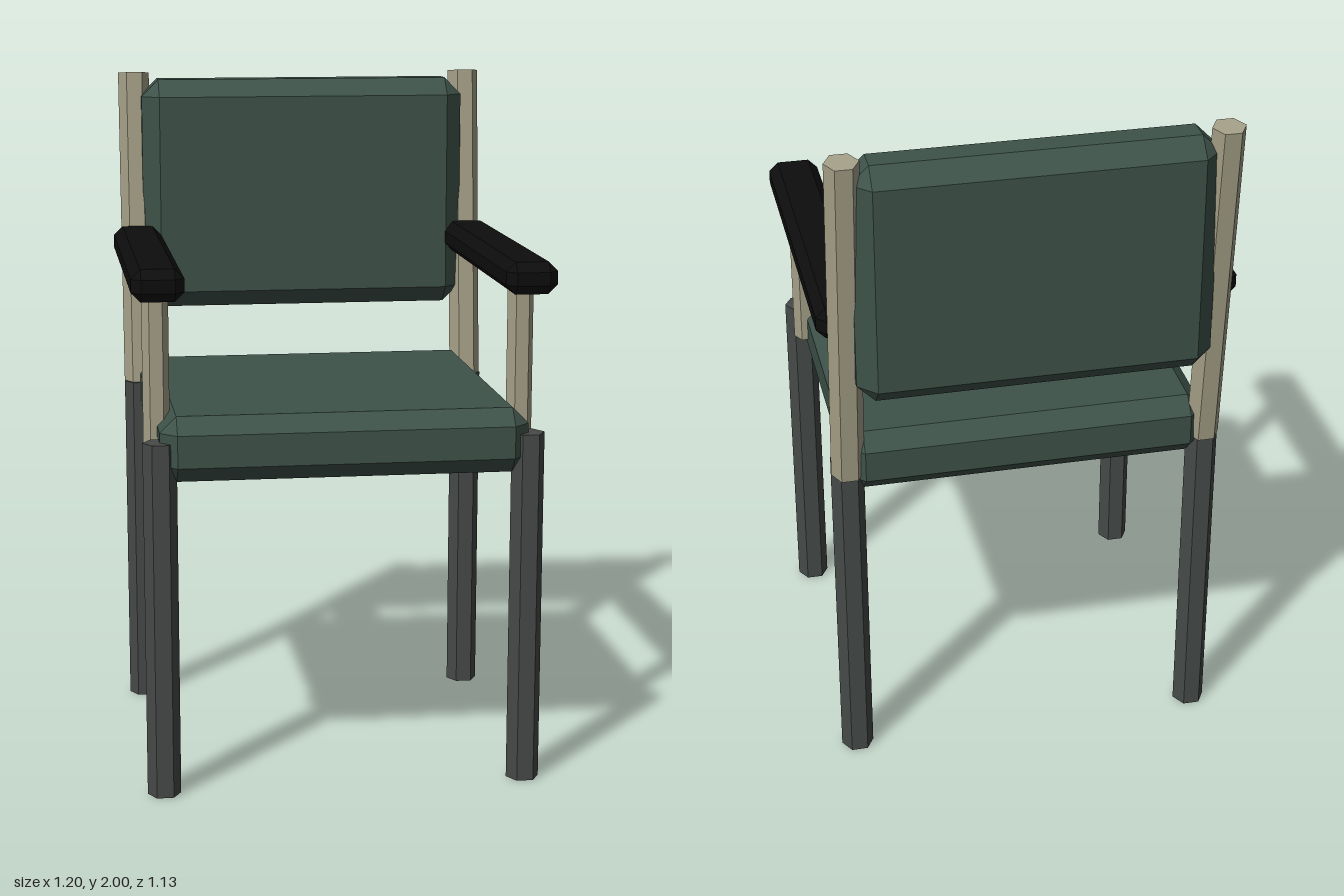
import * as THREE from 'three';
import { ConvexGeometry } from 'three/addons/geometries/ConvexGeometry.js';

const material = (name, color) => {
  const m = new THREE.MeshStandardMaterial({ color });
  m.name = name;
  return m;
};

// Box between two corners with every edge chamfered by c
function chamferBox(min, max, c) {
  const points = [];
  for (const x of [0, 1]) for (const y of [0, 1]) for (const z of [0, 1]) {
    const side = [x, y, z];
    for (let face = 0; face < 3; face++) {
      const p = side.map((s, i) => {
        const inset = i === face ? 0 : c;
        return s ? max[i] - inset : min[i] + inset;
      });
      points.push(new THREE.Vector3(...p));
    }
  }
  return new ConvexGeometry(points);
}

// Six-sided bar between two points, with corners pointing sideways
function hexBar(from, to, radius) {
  const a = new THREE.Vector3(...from);
  const b = new THREE.Vector3(...to);
  const dir = b.clone().sub(a);
  const geo = new THREE.CylinderGeometry(radius, radius, dir.length(), 6, 1, false, Math.PI / 6).toNonIndexed();
  geo.computeVertexNormals();
  geo.rotateX(Math.atan2(dir.z, dir.y));
  const mid = a.add(b).multiplyScalar(0.5);
  return geo.translate(mid.x, mid.y, mid.z);
}

export function createModel() {
  const chair = new THREE.Group();
  chair.name = 'armchair';

  const fabric = material('green upholstery', 0x3e5249);
  const legMetal = material('dark grey legs', 0x464a48);
  const frame = material('beige frame', 0xa5a088);
  const rubber = material('black armrests', 0x0d0d0d);

  const add = (name, geometry, mat) => {
    const mesh = new THREE.Mesh(geometry, mat);
    mesh.name = name;
    chair.add(mesh);
  };

  // Cushions
  add('seat', chamferBox([-0.525, 0.92, -0.457], [0.525, 1.107, 0.565], 0.047), fabric);
  add('backrest', chamferBox([-0.505, 1.265, -0.565], [0.505, 1.978, -0.387], 0.052), fabric);

  // Legs, posts and arms on both sides
  for (const side of [1, -1]) {
    const label = side > 0 ? 'left' : 'right';
    const x = side * 0.525;
    add(label + 'FrontLeg', hexBar([x, 0, 0.514], [x, 1.033, 0.514], 0.048), legMetal);
    add(label + 'BackLeg', hexBar([x, 0, -0.411], [x, 1.033, -0.411], 0.048), legMetal);
    add(label + 'BackPost', hexBar([x, 0.98, -0.419], [x, 1.996, -0.515], 0.048), frame);
    add(label + 'ArmSupport', hexBar([x, 0.99, 0.386], [x, 1.46, 0.386], 0.038), frame);
    add(label + 'Armrest',
      chamferBox([x - 0.074, 1.431, -0.455], [x + 0.074, 1.523, 0.555], 0.027), rubber);
  }
  return chair;
}
